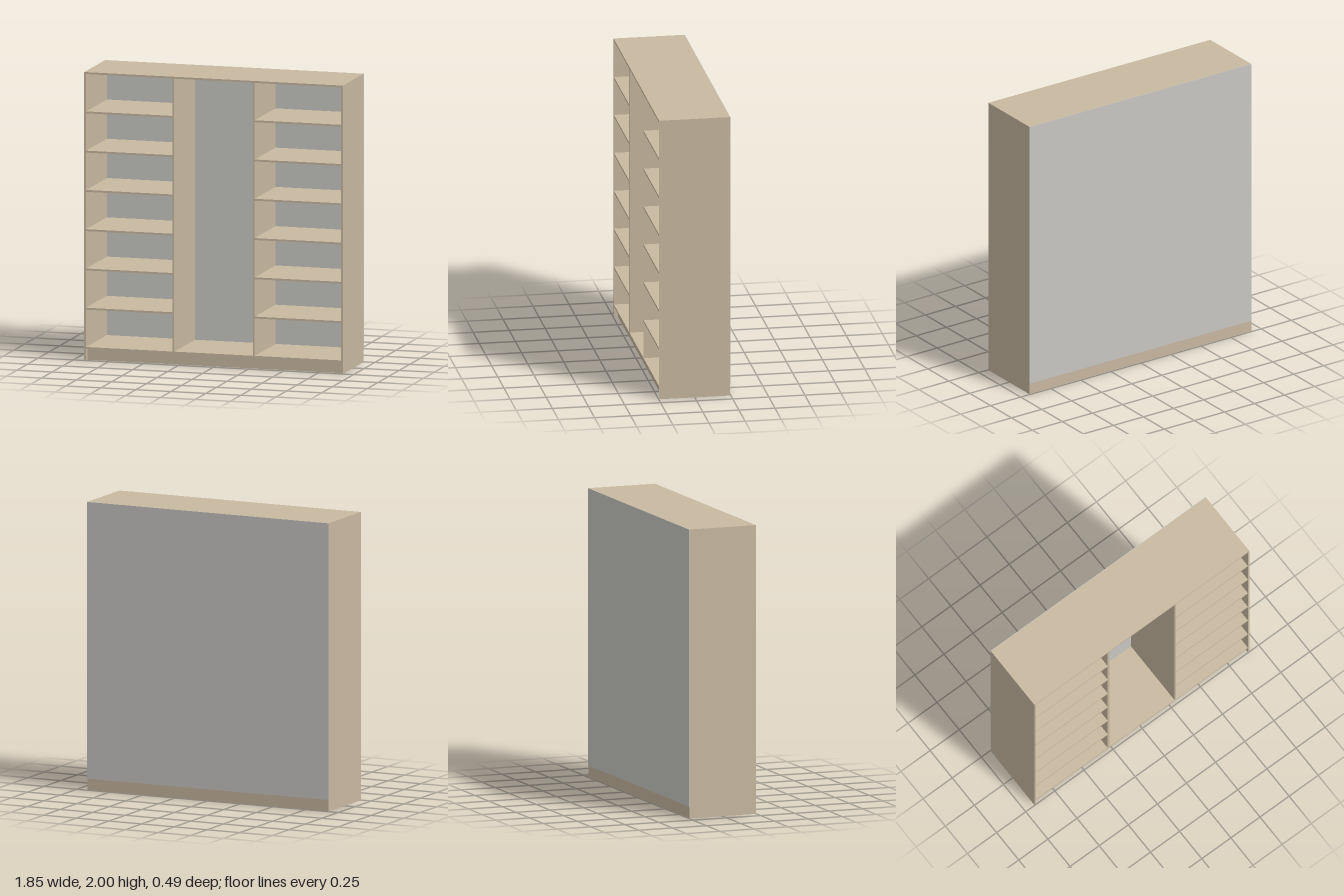
import * as THREE from 'three';

export function createModel() {
  const wardrobe = new THREE.Group();
  wardrobe.name = 'openWardrobe';
  const wood = new THREE.MeshStandardMaterial({ name: 'beige board', color: 0xc8b8a0 });
  const grey = new THREE.MeshStandardMaterial({ name: 'grey backing', color: 0xc8c7c3 });

  const W = 0.923, H = 2, T = 0.0135;       // half width, height, board thickness
  const front = 0.247, back = -0.244;       // board depth, backing sits behind
  const plinth = 0.08, divider = 0.287;

  // Board given by its lower and upper limits on each axis
  function board(name, x0, x1, y0, y1, z0 = back, z1 = front, material = wood) {
    const mesh = new THREE.Mesh(new THREE.BoxGeometry(x1 - x0, y1 - y0, z1 - z0), material);
    mesh.position.set((x0 + x1) / 2, (y0 + y1) / 2, (z0 + z1) / 2);
    mesh.name = name;
    wardrobe.add(mesh);
  }

  // Carcass
  const inner = W - T;
  board('rightSide', -W, -inner, 0, H);
  board('leftSide', inner, W, 0, H);
  board('topPanel', -inner, inner, H - T, H);
  board('bottomPanel', -inner, inner, plinth, plinth + T);
  board('backPanel', -W, W, plinth, H, back - 0.003, back, grey);

  // Plinth boards, the front one slightly set back
  board('frontPlinth', -inner, inner, 0, plinth, front - 0.03 - T, front - 0.03);
  board('backPlinth', -inner, inner, 0, plinth, back, back + T);

  // Dividers and six shelves on each side
  const floor = plinth + T, step = (H - floor) / 7;
  for (const side of [-1, 1]) {
    const label = side < 0 ? 'right' : 'left';
    const c = side * divider;
    board(label + 'Divider', c - T / 2, c + T / 2, floor, H - T);
    const a = side * (divider + T / 2), b = side * inner;
    for (let i = 1; i <= 6; i++) {
      const y = floor - T + i * step;
      board(label + 'Shelf' + i, Math.min(a, b), Math.max(a, b), y, y + T);
    }
  }
  return wardrobe;
}
